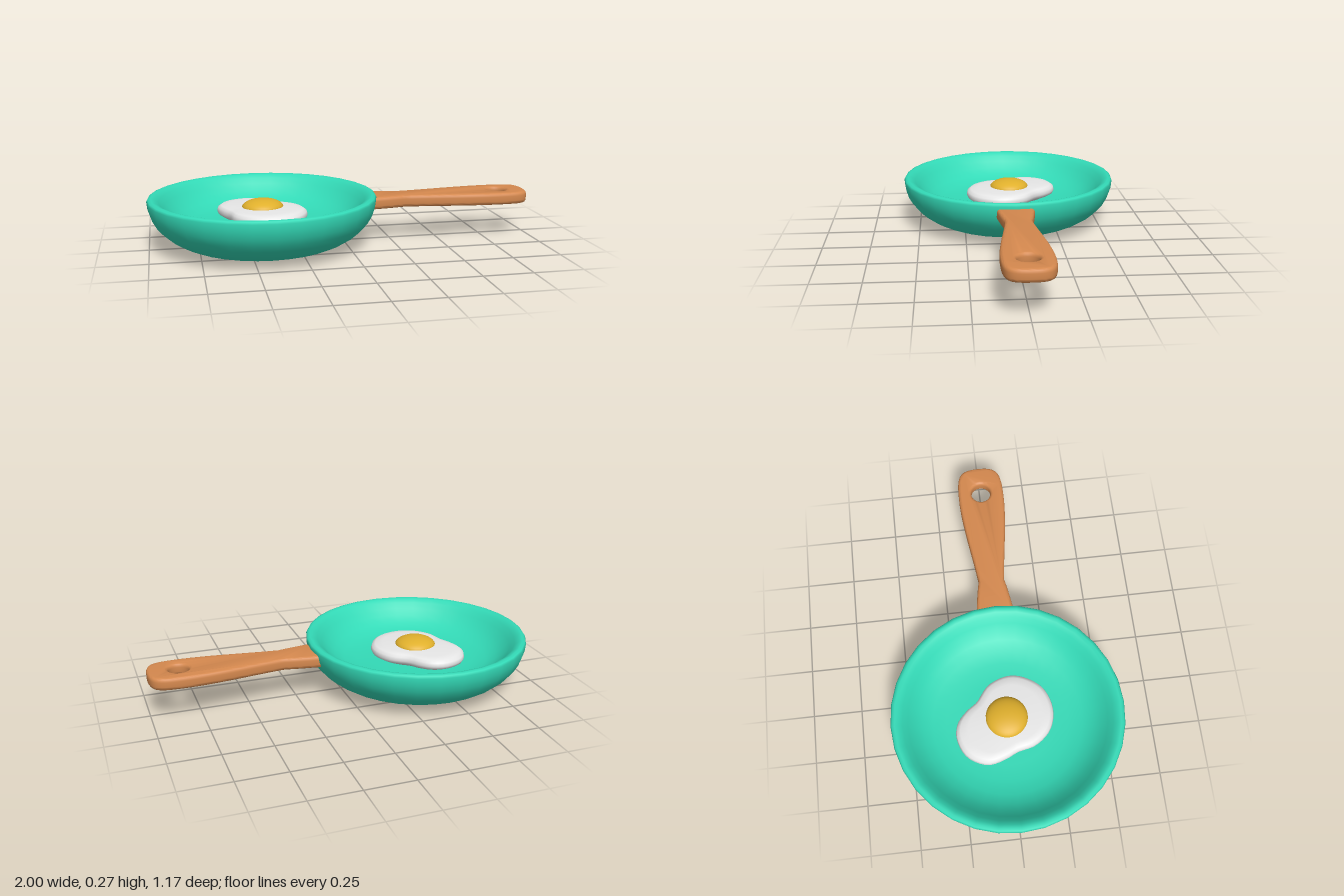
import * as THREE from 'three';
import { toCreasedNormals } from 'three/addons/utils/BufferGeometryUtils.js';

const flat = (name, color) => Object.assign(new THREE.MeshStandardMaterial({ color }), { name });
const PAN_X = -0.42;

function part(name, geometry, material) {
  const mesh = new THREE.Mesh(geometry, material);
  mesh.name = name;
  return mesh;
}

// Bowl: elliptical outer wall, soft lip, then an S-shaped slope down to the floor
function panGeometry() {
  const profile = [[0, 0]];
  for (let i = 0; i <= 10; i++) {
    const a = (i / 10) * Math.PI * 0.5;
    profile.push([0.25 + 0.333 * Math.sin(a), 0.25 * (1 - Math.cos(a))]);
  }
  profile.push(
    [0.577, 0.261], [0.563, 0.266], [0.545, 0.261], [0.524, 0.245], [0.5, 0.218],
    [0.47, 0.186], [0.43, 0.155], [0.38, 0.132], [0.31, 0.117], [0.22, 0.111], [0, 0.11],
  );
  return new THREE.LatheGeometry(profile.map(([r, y]) => new THREE.Vector2(r, y)), 32);
}

// Handle: flared neck, narrow waist, wide rounded end with a hanging hole
function handleGeometry() {
  const s = new THREE.Shape();
  s.moveTo(0.125, -0.1);
  s.lineTo(0.16, -0.095);
  s.quadraticCurveTo(0.26, -0.082, 0.32, -0.068);
  s.bezierCurveTo(0.46, -0.08, 0.64, -0.118, 0.8, -0.122);
  s.bezierCurveTo(0.96, -0.124, 1, -0.115, 1, 0);
  s.bezierCurveTo(1, 0.115, 0.96, 0.124, 0.8, 0.122);
  s.bezierCurveTo(0.64, 0.118, 0.46, 0.08, 0.32, 0.068);
  s.quadraticCurveTo(0.26, 0.082, 0.16, 0.095);
  s.lineTo(0.125, 0.1);
  s.closePath();
  const hole = new THREE.Path();
  hole.absarc(0.845, 0, 0.052, 0, Math.PI * 2, true);
  s.holes.push(hole);
  const bevel = 0.019;
  const g = new THREE.ExtrudeGeometry(s, {
    depth: 0.063 - 2 * bevel, bevelEnabled: true, bevelThickness: bevel,
    bevelSize: 0.016, bevelOffset: -0.016, bevelSegments: 4, curveSegments: 14,
  });
  g.rotateX(-Math.PI / 2);
  g.translate(0, 0.175 + bevel, 0);
  return toCreasedNormals(g, 0.8);
}

// Egg white: a two-lobed outline stacked in rings and closed with soft caps
function eggWhiteGeometry() {
  const outline = new THREE.CatmullRomCurve3([
    [-0.49, -0.267], [-0.592, -0.225], [-0.645, -0.125], [-0.625, -0.03], [-0.597, 0.03],
    [-0.572, 0.125], [-0.5, 0.207], [-0.395, 0.235], [-0.278, 0.197], [-0.208, 0.1],
    [-0.196, 0.02], [-0.235, -0.08], [-0.32, -0.15], [-0.36, -0.205], [-0.415, -0.252],
  ].map(([x, z]) => new THREE.Vector3(x, 0, z)), true);
  const N = 56, cx = -0.43, cz = -0.01;
  const rim = outline.getSpacedPoints(N).slice(0, N);
  const rings = [
    [0.7, 0.12], [0.9, 0.138], [0.97, 0.147], [1, 0.163],
    [0.98, 0.181], [0.91, 0.193], [0.75, 0.199],
  ];
  const pos = [], idx = [];
  for (const [k, y] of rings) {
    for (const p of rim) pos.push(cx + (p.x - cx) * k, y, cz + (p.z - cz) * k);
  }
  const bottom = rings.length * N, top = bottom + 1, last = bottom - N;
  pos.push(cx, 0.112, cz, cx, 0.205, cz);
  for (let i = 0; i < N; i++) {
    const n = (i + 1) % N;
    for (let r = 0; r < last; r += N) {
      idx.push(r + i, r + n, r + N + n, r + i, r + N + n, r + N + i);
    }
    idx.push(last + i, last + n, top, n, i, bottom);
  }
  const g = new THREE.BufferGeometry();
  g.setAttribute('position', new THREE.Float32BufferAttribute(pos, 3));
  g.setIndex(idx);
  g.computeVertexNormals();
  return g;
}

export function createModel() {
  const group = new THREE.Group();
  group.name = 'fryingPan';

  const pan = part('pan', panGeometry(), flat('teal enamel', 0x33dab7));
  pan.position.x = PAN_X;

  const handle = part('handle', handleGeometry(), flat('wood', 0xd4884e));
  const white = part('eggWhite', eggWhiteGeometry(), flat('egg white', 0xececec));

  // Yolk: flattened ball resting in the white
  const yolk = part('yolk', new THREE.SphereGeometry(0.107, 32, 20), flat('yolk yellow', 0xe0b02c));
  yolk.scale.y = 0.42;
  yolk.position.set(PAN_X, 0.195, -0.005);

  group.add(pan, handle, white, yolk);
  return group;
}
